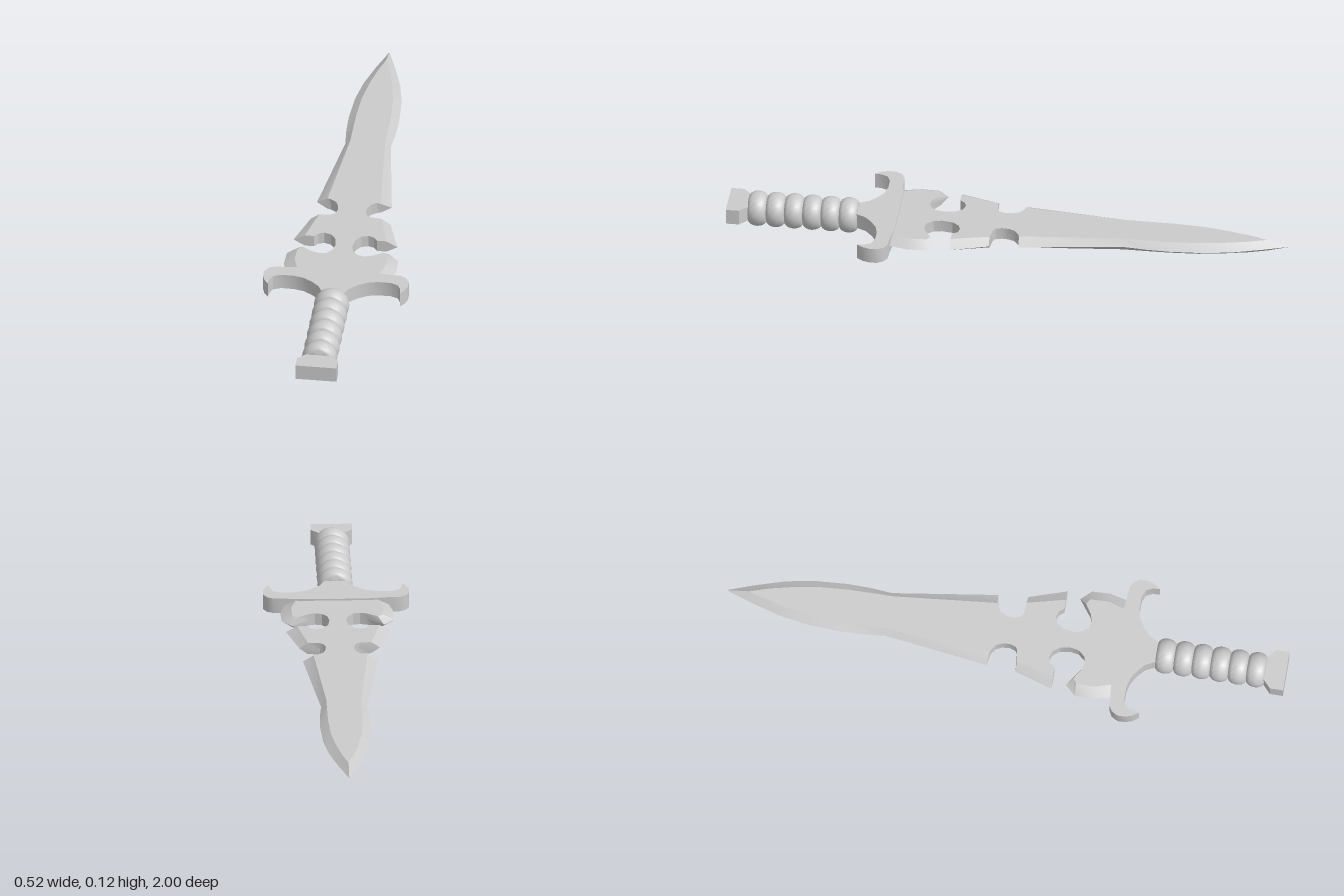
import * as THREE from 'three';
import { toCreasedNormals } from 'three/addons/utils/BufferGeometryUtils.js';

const MID = 0.0635; // height of the flat plane through the dagger

const material = new THREE.MeshStandardMaterial({ color: 0xcccccc });

function add(group, name, geometry) {
  const mesh = new THREE.Mesh(geometry, material);
  mesh.name = name;
  group.add(mesh);
  return mesh;
}

// Completes a right-hand outline with its mirror image
const mirrored = (half) =>
  half.concat(half.filter((p) => p[0] > 0).reverse().map(([x, z, ix = x, iz = z]) => [-x, z, -ix, iz]));

// Flat plate cut from an (x, z) outline
function plate(half, thickness) {
  const shape = new THREE.Shape(mirrored(half).map(([x, z]) => new THREE.Vector2(x, z)));
  const geo = new THREE.ExtrudeGeometry(shape, { depth: thickness, bevelEnabled: false });
  geo.rotateX(Math.PI / 2).translate(0, MID + thickness / 2, 0);
  return toCreasedNormals(geo, 0.6);
}

// Ground blade: each point is [edge x, edge z, face x, face z]; the face
// point defaults to the edge point, giving an upright wall.
function groundBlade(half, h) {
  const ring = mirrored(half);
  const face = ring.map(([x, z, ix = x, iz = z]) => new THREE.Vector2(ix, iz));
  const top = face.map((p) => [p.x, MID + h, p.y]);
  const low = face.map((p) => [p.x, MID - h, p.y]);
  const edge = ring.map(([x, z]) => [x, MID, z]);
  const pos = [];
  const tri = (a, b, c) => pos.push(...a, ...b, ...c);
  for (const [a, b, c] of THREE.ShapeUtils.triangulateShape(face, [])) {
    tri(top[a], top[c], top[b]);
    tri(low[a], low[b], low[c]);
  }
  ring.forEach((_, i) => {
    const j = (i + 1) % ring.length;
    tri(edge[i], top[i], top[j]);
    tri(edge[i], top[j], edge[j]);
    tri(low[i], edge[i], edge[j]);
    tri(low[i], edge[j], low[j]);
  });
  const geo = new THREE.BufferGeometry();
  geo.setAttribute('position', new THREE.Float32BufferAttribute(pos, 3));
  return toCreasedNormals(geo, 0.45);
}

export function createModel() {
  const dagger = new THREE.Group();
  dagger.name = 'dagger';

  // Blade with sharpened edges and two pairs of rounded notches
  add(dagger, 'blade', groundBlade([
    [0, -1, 0, -0.92],
    [0.035, -0.9, 0.022, -0.85],
    [0.065, -0.8, 0.04, -0.77],
    [0.083, -0.7, 0.055, -0.68],
    [0.09, -0.58, 0.061, -0.58],
    [0.088, -0.5, 0.062, -0.5],
    [0.081, -0.42, 0.062, -0.41],
    [0.133, -0.05, 0.095, -0.047],
    // upper notch
    [0.082, -0.042], [0.062, -0.028], [0.052, -0.005], [0.05, 0.02], [0.057, 0.042], [0.07, 0.05],
    // middle barb
    [0.142, 0.055, 0.112, 0.055],
    [0.185, 0.19, 0.145, 0.19],
    // lower notch
    [0.112, 0.19], [0.098, 0.172], [0.078, 0.165], [0.054, 0.173], [0.036, 0.197],
    [0.03, 0.235], [0.036, 0.265], [0.055, 0.287], [0.08, 0.292], [0.105, 0.285],
    // lower barb
    [0.163, 0.238, 0.142, 0.262],
    [0.198, 0.275, 0.16, 0.275],
    [0.2, 0.34, 0.162, 0.34],
    [0.183, 0.41, 0.14, 0.41],
  ], 0.022));

  // Guard with hooked ends, tapering into the grip
  add(dagger, 'guard', plate([
    [0, 0.393], [0.13, 0.395], [0.185, 0.402], [0.222, 0.403], [0.245, 0.415], [0.258, 0.438],
    [0.258, 0.465], [0.25, 0.49], [0.235, 0.511], [0.232, 0.485], [0.222, 0.463], [0.195, 0.452],
    [0.15, 0.452], [0.115, 0.46], [0.082, 0.48], [0.055, 0.505], [0.035, 0.545], [0, 0.545],
  ], 0.057));

  // Grip of six rounded rings
  const grip = new THREE.Group();
  grip.name = 'grip';
  dagger.add(grip);
  const pitch = 0.065;
  const profile = [new THREE.Vector2(0, -pitch / 2)];
  for (let i = 0; i <= 10; i++) {
    const a = (i / 10 - 0.5) * Math.PI;
    profile.push(new THREE.Vector2(0.042 + 0.0205 * Math.cos(a), (Math.sin(a) * pitch) / 2));
  }
  profile.push(new THREE.Vector2(0, pitch / 2));
  const ring = toCreasedNormals(new THREE.LatheGeometry(profile, 32).rotateX(Math.PI / 2), 0.7);
  for (let i = 0; i < 6; i++) {
    add(grip, 'gripRing', ring).position.set(0, MID - 0.001, 0.57 + i * pitch);
  }

  // Flared pommel block
  add(dagger, 'pommel', plate([
    [0, 0.915], [0.042, 0.925], [0.073, 0.953], [0.073, 1], [0, 1],
  ], 0.057));

  return dagger;
}
